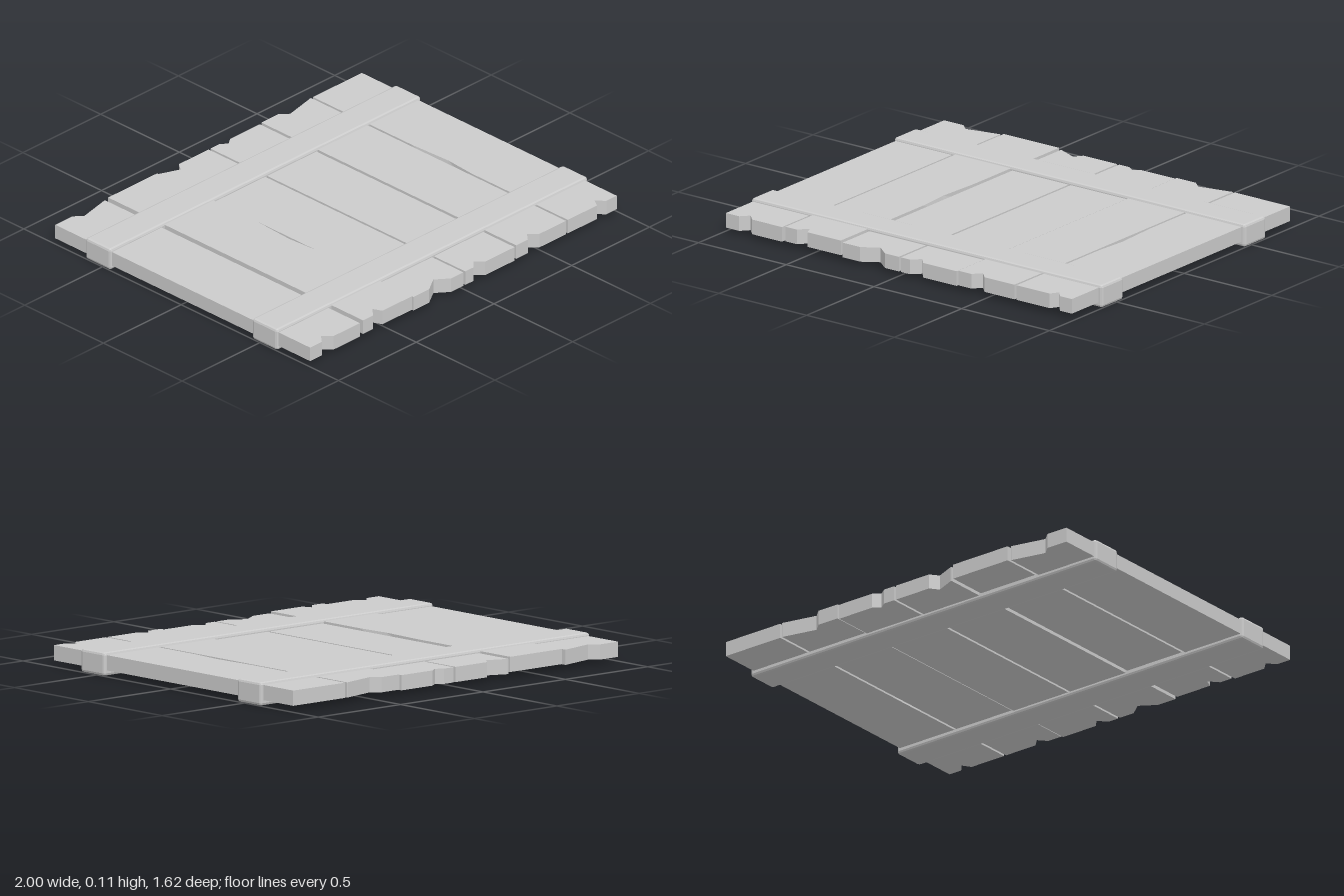
import * as THREE from 'three';
import { RoundedBoxGeometry } from 'three/addons/geometries/RoundedBoxGeometry.js';

const material = new THREE.MeshStandardMaterial({ color: 0xcccccc, flatShading: true });
const END = 0.81;        // half length of a plank
const THICK = 0.07;      // plank thickness
const CHIP = [-0.18, 0.04, 0.2]; // start, deepest point and end of an edge chip, along z

// x0, x1: sides; y: underside; front/back: notch as [x start, x tip, x end, depth]; chip: chipped side
const PLANKS = [
  { x0: -0.99, x1: -0.67, y: 0.022, front: [-0.915, -0.88, -0.84, 0.04], back: [-0.88, -0.84, -0.675, 0.036] },
  { x0: -0.65, x1: -0.335, y: 0.028, front: [-0.585, -0.545, -0.525, 0.045], chip: 'right' },
  { x0: -0.325, x1: -0.004, y: 0.02, front: [-0.225, -0.147, -0.083, 0.05], back: [-0.32, -0.225, -0.195, 0.04] },
  { x0: 0.008, x1: 0.325, y: 0.02, front: [0.06, 0.1, 0.135, 0.04], back: [0.065, 0.1, 0.135, 0.025] },
  { x0: 0.335, x1: 0.655, y: 0.025, front: [0.41, 0.445, 0.485, 0.04], back: [0.445, 0.485, 0.65, 0.036] },
  { x0: 0.667, x1: 0.982, y: 0.025, front: [0.855, 0.88, 0.915, 0.04], chip: 'left' },
];

// Plank outline in x and z, extruded downwards from its top
function plankGeometry({ x0, x1, front, back, chip }) {
  const notch = (n, side) => n
    ? [[n[0], side * END], [n[1], side * (END - n[3])], [n[2], side * END]] : [];
  const points = [
    [x0, -END], ...notch(back, -1), [x1, -END],
    ...(chip === 'right' ? CHIP.map((z) => [x1, z]) : []),
    [x1, END], ...notch(front, 1).reverse(), [x0, END],
    ...(chip === 'left' ? CHIP.map((z) => [x0, z]).reverse() : []),
  ];
  const shape = new THREE.Shape(points.map(([x, z]) => new THREE.Vector2(x, z)));
  const geometry = new THREE.ExtrudeGeometry(shape, { depth: THICK, bevelEnabled: false });
  geometry.rotateX(Math.PI / 2).translate(0, THICK, 0);

  // Push the upper edge inwards at the deepest point of the chip
  if (chip) {
    const p = geometry.attributes.position;
    for (let i = 0; i < p.count; i++) {
      if (p.getY(i) > THICK / 2 && Math.abs(p.getZ(i) - CHIP[1]) < 1e-4) {
        p.setX(i, p.getX(i) + (chip === 'left' ? 0.012 : -0.012));
      }
    }
    geometry.computeVertexNormals();
  }
  return geometry;
}

export function createModel() {
  const model = new THREE.Group();
  model.name = 'plankPanel';

  // Six planks side by side
  PLANKS.forEach((spec, i) => {
    const plank = new THREE.Mesh(plankGeometry(spec), material);
    plank.name = `plank${i + 1}`;
    plank.position.y = spec.y;
    model.add(plank);
  });

  // Two bevelled crossbars wrapping the planks
  for (const side of [1, -1]) {
    const bar = new THREE.Mesh(new RoundedBoxGeometry(2, 0.107, 0.16, 1, 0.012), material);
    bar.name = side > 0 ? 'frontCrossbar' : 'backCrossbar';
    bar.position.set(0, 0.0535, side * 0.53);
    model.add(bar);
  }
  return model;
}
